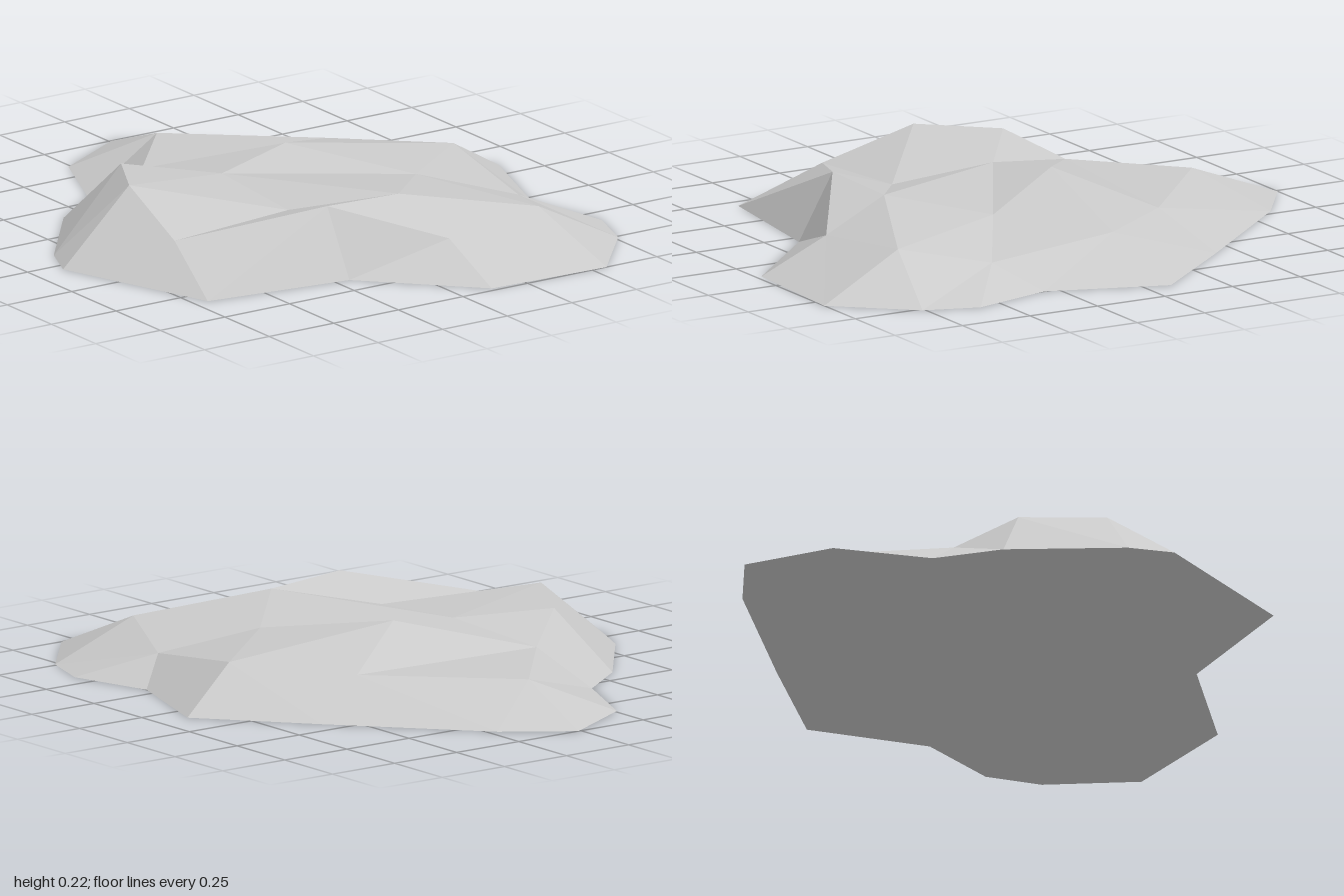
import * as THREE from 'three';

// Ground outline, [x, z], counter-clockwise from above
const outline = [
  [0.22, -0.85], [0.01, -1], [-0.26, -0.85], [-0.39, -0.55],
  [-0.58, -0.41], [-0.83, -0.1], [-0.89, 0.04], [-0.7, 0.58],
  [-0.2, 0.65], [0.125, 0.98], [0.555, 1], [0.765, 0.76],
  [0.825, 0.58], [0.75, 0.3], [0.885, -0.09], [0.6, -0.425],
].map(([x, z]) => new THREE.Vector3(x, 0, z));

// Shoulder and crown loops: [x, y, z, edges of the next loop out that fan from this point]
const shoulder = [
  [-0.02, 0.11, -0.7, 3], [-0.29, 0.12, -0.39, 1], [-0.46, 0.2, -0.26, 1],
  [-0.6, 0.217, -0.01, 1], [-0.64, 0.12, 0.305, 1], [-0.2, 0.215, 0.525, 1],
  [0.125, 0.105, 0.74, 2], [0.5, 0.135, 0.695, 1], [0.615, 0.08, 0.415, 2],
  [0.655, 0.135, -0.01, 2], [0.39, 0.115, -0.335, 1],
];
const crown = [
  [-0.2, 0.17, -0.07, 2], [-0.2, 0.145, 0.305, 2], [0.09, 0.2, 0.505, 2],
  [0.335, 0.155, 0.245, 2], [0.08, 0.21, -0.12, 2],
];

const toPoints = (loop) => loop.map(([x, y, z]) => new THREE.Vector3(x, y, z));

// Facets joining an outer loop to an inner one
function stitch(outer, inner, steps) {
  const facets = [];
  let k = 0;
  inner.forEach((point, i) => {
    for (let s = 0; s < steps[i]; s++, k++) {
      facets.push(point, outer[k], outer[(k + 1) % outer.length]);
    }
    facets.push(point, outer[k % outer.length], inner[(i + 1) % inner.length]);
  });
  return facets;
}

function facetMesh(name, points, material) {
  const geometry = new THREE.BufferGeometry().setFromPoints(points);
  geometry.computeVertexNormals();
  const mesh = new THREE.Mesh(geometry, material);
  mesh.name = name;
  return mesh;
}

export function createModel() {
  const group = new THREE.Group();
  group.name = 'rock';
  const stone = new THREE.MeshStandardMaterial({ color: 0xcacaca, flatShading: true });
  stone.name = 'stone grey';

  const ring = toPoints(shoulder);
  const top = toPoints(crown);
  const innerRing = ring.slice(1);

  // Sloping sides
  group.add(facetMesh('rockSides', stitch(outline, ring, shoulder.map((p) => p[3])), stone));

  // Upper surface: back ledge, slopes to the crown, and crown cap
  const upper = [ring[0], ring[1], ring[ring.length - 1]];
  upper.push(...stitch(innerRing, top, crown.map((p) => p[3])));
  for (let i = 1; i < top.length - 1; i++) upper.push(top[0], top[i], top[i + 1]);
  group.add(facetMesh('rockTop', upper, stone));

  // Flat underside
  const flat = outline.map((p) => new THREE.Vector2(p.x, -p.z));
  const base = THREE.ShapeUtils.triangulateShape(flat, [])
    .flatMap(([a, b, c]) => [outline[a], outline[c], outline[b]]);
  group.add(facetMesh('rockBase', base, stone));

  return group;
}
